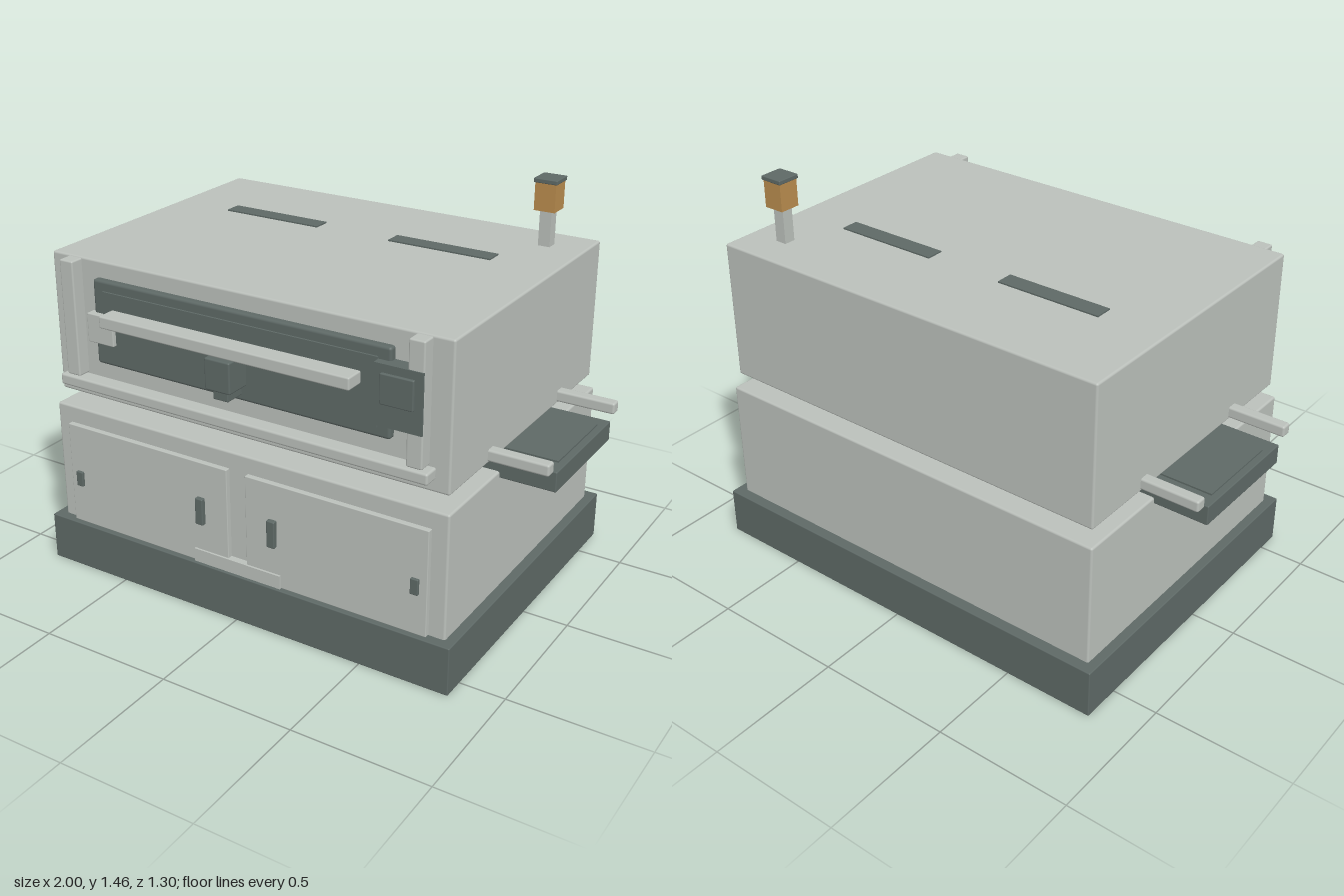
import * as THREE from 'three';
import { RoundedBoxGeometry } from 'three/addons/geometries/RoundedBoxGeometry.js';

const material = (name, color) => {
  const m = new THREE.MeshStandardMaterial({ color });
  m.name = name;
  return m;
};

export function createModel() {
  const pale = material('pale grey', 0xbbc0bb);
  const dark = material('dark grey', 0x5e6966);
  const amber = material('amber', 0xb98c4e);
  const model = new THREE.Group();
  model.name = 'oven';

  // Box given by its [min, max] range on each axis, with optional softened edges
  const box = (name, mat, [x0, x1], [y0, y1], [z0, z1], radius = 0) => {
    const size = [x1 - x0, y1 - y0, z1 - z0];
    const geometry = radius
      ? new RoundedBoxGeometry(...size, 2, radius)
      : new THREE.BoxGeometry(...size);
    const mesh = new THREE.Mesh(geometry, mat);
    mesh.name = name;
    mesh.position.set((x0 + x1) / 2, (y0 + y1) / 2, (z0 + z1) / 2);
    model.add(mesh);
  };
  // The same box on both sides of x = 0
  const pair = (name, mat, [x0, x1], ...rest) => {
    box(name + 'Left', mat, [x0, x1], ...rest);
    box(name + 'Right', mat, [-x1, -x0], ...rest);
  };

  // Plinth, cabinet and oven chamber
  box('plinth', dark, [-0.835, 0.835], [0, 0.18], [-0.65, 0.587], 0.004);
  box('cabinet', pale, [-0.8, 0.8], [0.17, 0.636], [-0.61, 0.55], 0.008);
  box('ovenChamber', pale, [-0.787, 0.787], [0.69, 1.21], [-0.592, 0.53], 0.008);

  // Side shelf slab passing between the two bodies, with inset trays and rails
  box('shelf', dark, [-1, 1], [0.613, 0.686], [-0.26, 0.198], 0.004);
  pair('shelfTray', dark, [0.77, 0.975], [0.685, 0.692], [-0.2, 0.13]);
  for (const z of [0.246, -0.306]) {
    pair('sideRail', pale, [0.77, 1], [0.698, 0.74], [z - 0.021, z + 0.021], 0.008);
  }

  // Roof vents
  pair('roofVent', dark, [0.15, 0.55], [1.205, 1.215], [-0.25, -0.184]);

  // Signal lamp
  box('lampPost', pale, [0.62, 0.664], [1.2, 1.345], [-0.466, -0.423]);
  box('lamp', amber, [0.603, 0.681], [1.34, 1.442], [-0.485, -0.407]);
  box('lampCap', dark, [0.598, 0.686], [1.44, 1.456], [-0.49, -0.402], 0.003);

  // Guide posts and sill around the oven door
  pair('guidePost', pale, [0.656, 0.713], [0.78, 1.206], [0.525, 0.58], 0.006);
  box('doorSill', pale, [-0.74, 0.737], [0.736, 0.777], [0.525, 0.588], 0.008);

  // Oven door
  box('ovenDoor', dark, [-0.59, 0.585], [0.84, 1.15], [0.52, 0.555], 0.01);
  box('ovenDoorPanel', dark, [-0.545, 0.54], [0.876, 1.114], [0.54, 0.562]);
  box('doorHandle', pale, [-0.495, 0.49], [1.018, 1.062], [0.572, 0.645], 0.006);
  box('handleBracket', pale, [-0.607, -0.495], [0.924, 1.03], [0.54, 0.577], 0.004);
  box('latchHousing', dark, [-0.05, 0.05], [0.902, 1.014], [0.555, 0.655], 0.006);
  box('latchTongue', dark, [-0.03, 0.03], [0.866, 0.91], [0.555, 0.638], 0.004);
  box('lockPlate', dark, [0.54, 0.712], [0.897, 1.106], [0.53, 0.584]);
  box('lockCover', dark, [0.566, 0.684], [0.975, 1.078], [0.57, 0.594], 0.004);

  // Cabinet doors, pulls, small catches and kick strip
  pair('cabinetDoor', pale, [0.038, 0.74], [0.18, 0.572], [0.54, 0.569], 0.003);
  pair('doorPull', dark, [0.133, 0.165], [0.336, 0.438], [0.56, 0.586], 0.004);
  pair('doorCatch', dark, [0.682, 0.711], [0.332, 0.39], [0.56, 0.58], 0.003);
  box('kickStrip', pale, [-0.18, 0.18], [0.18, 0.23], [0.54, 0.577]);

  return model;
}
